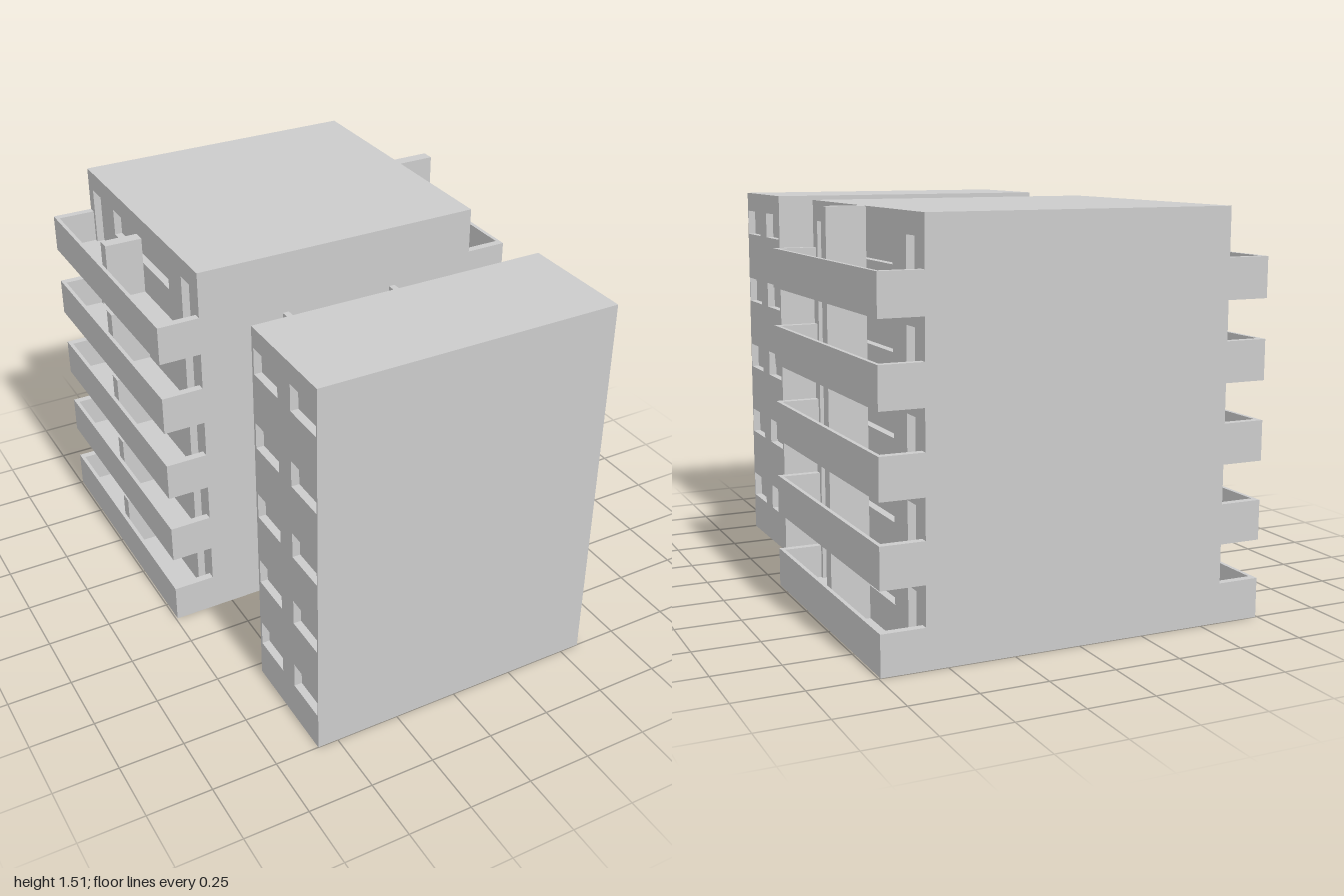
import * as THREE from 'three';

const FLOORS = 5, PITCH = 0.2963, HEIGHT = 1.515;
const HALF = 0.58;          // half width of both blocks
const RECESS = 0.03;        // depth of the window and door recesses
const SLAB = 0.02, PARAPET = 0.15, HEAD = 0.252;
const OUT = 0.743;          // outer face of the balconies
const MAIN = [-1, 0.1], FRONT = [0.54, 1];

const material = new THREE.MeshStandardMaterial({ color: 0xcccccc, flatShading: true });

// Box given by its limits on each axis
function box(parent, name, [x0, x1], [y0, y1], [z0, z1]) {
  const mesh = new THREE.Mesh(new THREE.BoxGeometry(x1 - x0, y1 - y0, z1 - z0), material);
  mesh.position.set((x0 + x1) / 2, (y0 + y1) / 2, (z0 + z1) / 2);
  mesh.name = name;
  parent.add(mesh);
}

// Range on the x axis, mirrored for the other side
const span = (side, a, b) => (side > 0 ? [a, b] : [-b, -a]);

function rectangle(target, u0, u1, y0, y1) {
  target.moveTo(u0, y0).lineTo(u1, y0).lineTo(u1, y1).lineTo(u0, y1).closePath();
  return target;
}

// Side wall with openings, repeated on every floor
function facade(parent, side, [z0, z1], openings) {
  const along = (a, b) => (side > 0 ? [-b, -a] : [a, b]);
  const shape = rectangle(new THREE.Shape(), ...along(z0, z1), 0, HEIGHT);
  for (let i = 0; i < FLOORS; i++) {
    for (const [a, b, sill] of openings) {
      shape.holes.push(rectangle(new THREE.Path(), ...along(a, b), i * PITCH + sill, i * PITCH + HEAD));
    }
  }
  const geometry = new THREE.ExtrudeGeometry(shape, { depth: RECESS, bevelEnabled: false });
  geometry.rotateY(side * Math.PI / 2);
  geometry.translate(side * (HALF - RECESS), 0, 0);
  const mesh = new THREE.Mesh(geometry, material);
  mesh.name = side > 0 ? 'leftFacade' : 'rightFacade';
  parent.add(mesh);
}

// Solid core between two side walls
function block(name, depth, openings) {
  const group = new THREE.Group();
  group.name = name;
  box(group, 'core', [-HALF + RECESS, HALF - RECESS], [0, HEIGHT], depth);
  for (const side of [1, -1]) facade(group, side, depth, openings);
  return group;
}

// Balcony: floor, outer parapet, two end parapets and a divider
function balcony(side, floor) {
  const group = new THREE.Group();
  group.name = 'balcony';
  const y = floor * PITCH, [z0, z1] = MAIN, inner = OUT - 0.015;
  box(group, 'balconyFloor', span(side, HALF, inner), [y, y + SLAB], [z0 + 0.03, z1 - 0.03]);
  box(group, 'outerParapet', span(side, inner, OUT), [y, y + PARAPET], MAIN);
  box(group, 'endParapet', span(side, HALF, inner), [y, y + PARAPET], [z0, z0 + 0.03]);
  box(group, 'endParapet', span(side, HALF, inner), [y, y + PARAPET], [z1 - 0.03, z1]);
  // The divider is full height on the left side, lower on the right
  const top = side < 0 ? y + HEAD - 0.004 : floor === FLOORS - 1 ? HEIGHT : y + PITCH;
  box(group, 'divider', span(side, HALF, inner), [y + SLAB, top], [-0.478, -0.428]);
  return group;
}

// Walkway between the blocks: floor and two low parapets
function bridge(floor) {
  const group = new THREE.Group();
  group.name = 'bridge';
  const y = floor * PITCH, z = [MAIN[1], FRONT[0]];
  box(group, 'bridgeFloor', [-0.217, 0.217], [y, y + SLAB], z);
  for (const side of [1, -1]) box(group, 'bridgeParapet', span(side, 0.217, 0.242), [y, y + 0.086], z);
  return group;
}

export function createModel() {
  const model = new THREE.Group();
  model.name = 'apartmentBuilding';

  // Two doors and a wide window per floor
  model.add(block('mainBlock', MAIN, [
    [-0.05, 0.052, SLAB], [-0.725, -0.172, 0.145], [-0.953, -0.845, SLAB],
  ]));

  // Two windows per floor
  model.add(block('frontBlock', FRONT, [[0.552, 0.726, PARAPET], [0.817, 0.994, PARAPET]]));

  for (let i = 0; i < FLOORS; i++) {
    model.add(balcony(1, i), balcony(-1, i), bridge(i));
  }
  return model;
}
